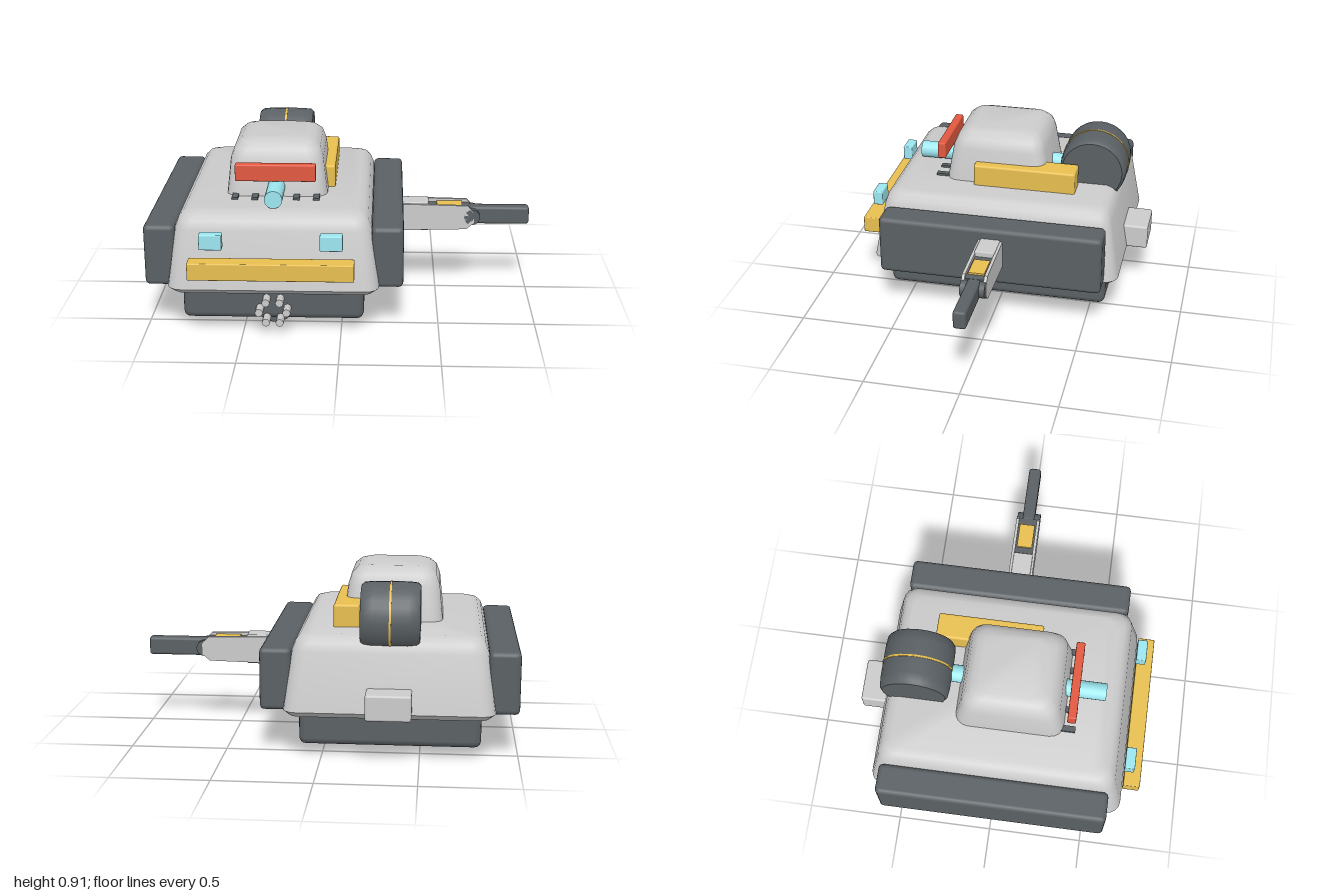
import * as THREE from 'three';
import { toCreasedNormals } from 'three/addons/utils/BufferGeometryUtils.js';
import { RoundedBoxGeometry } from 'three/addons/geometries/RoundedBoxGeometry.js';

const mat = (color) => new THREE.MeshStandardMaterial({ color });
const GREY = mat(0xcccccc), DARK = mat(0x5a6064), GOLD = mat(0xe8bf50);
const CYAN = mat(0x9ce6f0), RED = mat(0xe2583f);
const CX = -0.345; // centre line of the vehicle body

export function createModel() {
  const model = new THREE.Group();
  model.name = 'vehicle';

  const add = (name, geometry, material, parent = model) => {
    const mesh = new THREE.Mesh(geometry, material);
    mesh.name = name;
    parent.add(mesh);
    return mesh;
  };
  // Box given by its limits on each axis, with optional rounding
  const box = (name, material, [x0, x1], [y0, y1], [z0, z1], r = 0, parent = model) => {
    const s = [x1 - x0, y1 - y0, z1 - z0];
    const geo = r ? new RoundedBoxGeometry(...s, 2, r) : new THREE.BoxGeometry(...s);
    const mesh = add(name, geo, material, parent);
    mesh.position.set((x0 + x1) / 2, (y0 + y1) / 2, (z0 + z1) / 2);
    return mesh;
  };
  // Cylinder along z
  const rod = (name, material, r, x, y, z0, z1, sides = 16, parent = model) => {
    const geo = new THREE.CylinderGeometry(r, r, z1 - z0, sides).rotateX(Math.PI / 2);
    const mesh = add(name, geo, material, parent);
    mesh.position.set(x, y, (z0 + z1) / 2);
    return mesh;
  };

  // Armoured body, cabin and chassis
  add('hull', loft([
    [0.225, -0.85, 0.165, -0.63, 0.655, 0.06],
    [0.255, -0.88, 0.193, -0.662, 0.688, 0.07],
    [0.555, -0.84, 0.152, -0.61, 0.635, 0.07],
    [0.6, -0.823, 0.135, -0.595, 0.62, 0.07],
    [0.625, -0.8, 0.115, -0.575, 0.595, 0.065],
    [0.638, -0.765, 0.08, -0.54, 0.56, 0.06],
  ]), GREY);
  add('cabin', loft([
    [0.62, -0.608, -0.08, -0.232, 0.34, 0.07],
    [0.82, -0.587, -0.105, -0.198, 0.308, 0.07],
    [0.875, -0.567, -0.122, -0.182, 0.285, 0.07],
    [0.905, -0.535, -0.155, -0.15, 0.252, 0.065],
    [0.917, -0.5, -0.19, -0.115, 0.215, 0.055],
  ]), GREY);
  box('chassis', DARK, [-0.81, 0.115], [0.065, 0.25], [-0.59, 0.61], 0.035);
  box('rightSidePod', DARK, [-1, -0.84], [0.245, 0.567], [-0.592, 0.61], 0.025);
  box('leftSidePod', DARK, [0.153, 0.315], [0.245, 0.567], [-0.592, 0.61], 0.025);

  // Front and rear fittings
  box('frontBumper', GOLD, [-0.76, 0.07], [0.34, 0.43], [0.685, 0.773], 0.006);
  for (const side of [-1, 1]) {
    const x = CX + side * 0.3;
    box('headlight', CYAN, [x - 0.057, x + 0.057], [0.485, 0.565], [0.677, 0.73], 0.006);
  }
  box('rearBox', GREY, [-0.46, -0.23], [0.25, 0.383], [-0.773, -0.62], 0.012);

  // Roof fittings
  box('roofCase', GOLD, [-0.18, -0.045], [0.625, 0.755], [-0.385, 0.172], 0.012);
  box('lightBar', RED, [-0.552, -0.137], [0.735, 0.825], [0.35, 0.395], 0.008);
  for (const dx of [-0.21, -0.107, 0.107, 0.21])
    box('cabinFoot', DARK, [CX + dx - 0.016, CX + dx + 0.016], [0.625, 0.65], [0.32, 0.398]);
  rod('roofTube', CYAN, 0.046, CX, 0.685, -0.3, 0.535, 20);

  // Spare wheel with a thin band round its middle
  const wheel = new THREE.Group();
  wheel.name = 'spareWheel';
  wheel.position.set(CX, 0.709, -0.455);
  model.add(wheel);
  const tyre = [[0, -0.15], [0.165, -0.15], [0.178, -0.135], [0.183, -0.09], [0.183, 0.09],
    [0.178, 0.135], [0.165, 0.15], [0, 0.15]].map(([r, y]) => new THREE.Vector2(r, y));
  add('tyre', toCreasedNormals(new THREE.LatheGeometry(tyre, 28).rotateZ(Math.PI / 2), 0.7), DARK, wheel);
  add('tyreBand', new THREE.CylinderGeometry(0.186, 0.186, 0.01, 28).rotateZ(Math.PI / 2), GOLD, wheel);

  // Rotary gun under the nose
  const gun = new THREE.Group();
  gun.name = 'rotaryGun';
  model.add(gun);
  for (let i = 0; i < 6; i++) {
    const a = i * Math.PI / 3;
    rod('barrel', GREY, 0.021, CX + 0.07 * Math.cos(a), 0.13 + 0.062 * Math.sin(a), -0.05, 0.683, 8, gun);
  }
  rod('barrelClamp', DARK, 0.104, CX, 0.11, 0.482, 0.515, 20, gun);
  rod('barrelClampRim', DARK, 0.108, CX, 0.113, 0.49, 0.507, 20, gun);
  const housing = [[0, -0.26], [0.085, -0.26], [0.105, -0.24], [0.105, -0.01], [0.09, 0.012], [0, 0.012]];
  const housingGeo = new THREE.LatheGeometry(housing.map(([r, y]) => new THREE.Vector2(r, y)), 16);
  add('gunHousing', toCreasedNormals(housingGeo.rotateX(Math.PI / 2), 0.5), DARK, gun)
    .position.set(CX, 0.122, 0);

  // Side arm
  const arm = new THREE.Group();
  arm.name = 'sideArm';
  model.add(arm);
  box('armRoot', GREY, [0.28, 0.455], [0.35, 0.512], [-0.055, 0.05], 0.006, arm);
  for (const z of [-0.061, 0.054]) {
    const plate = new THREE.Shape();
    plate.moveTo(0.28, 0.355);
    plate.lineTo(0.66, 0.365);
    plate.lineTo(0.7, 0.4);
    plate.lineTo(0.7, 0.46);
    plate.lineTo(0.665, 0.498);
    plate.lineTo(0.28, 0.505);
    add('armPlate', new THREE.ExtrudeGeometry(plate, { depth: 0.016, bevelEnabled: false }), GREY, arm)
      .position.z = z - 0.008;
  }
  box('armCore', DARK, [0.45, 0.68], [0.395, 0.482], [-0.053, 0.046], 0, arm);
  box('armInsert', GOLD, [0.5, 0.637], [0.44, 0.492], [-0.045, 0.038], 0, arm);
  rod('armHinge', DARK, 0.043, 0.69, 0.432, -0.066, 0.062, 16, arm);
  box('armTip', DARK, [0.67, 1], [0.384, 0.482], [-0.037, 0.03], 0.015, arm);

  return model;
}

// Stack of rounded rectangles, each row [y, x0, x1, z0, z1, cornerRadius], closed at both ends
function loft(rows, steps = 4) {
  const pos = [], index = [];
  const n = 4 * (steps + 1);
  for (const [y, x0, x1, z0, z1, r] of rows) {
    const corners = [[x1 - r, z1 - r], [x0 + r, z1 - r], [x0 + r, z0 + r], [x1 - r, z0 + r]];
    corners.forEach(([cx, cz], q) => {
      for (let i = 0; i <= steps; i++) {
        const a = (q + i / steps) * Math.PI / 2;
        pos.push(cx + r * Math.cos(a), y, cz + r * Math.sin(a));
      }
    });
  }
  for (let k = 0; k < rows.length - 1; k++) {
    for (let i = 0; i < n; i++) {
      const a = k * n + i, b = k * n + (i + 1) % n;
      index.push(a, a + n, b, b, a + n, b + n);
    }
  }
  const top = (rows.length - 1) * n;
  for (let i = 1; i < n - 1; i++) {
    index.push(0, i, i + 1);
    index.push(top, top + i + 1, top + i);
  }
  const geo = new THREE.BufferGeometry();
  geo.setAttribute('position', new THREE.Float32BufferAttribute(pos, 3));
  geo.setIndex(index);
  return toCreasedNormals(geo, 0.75);
}
